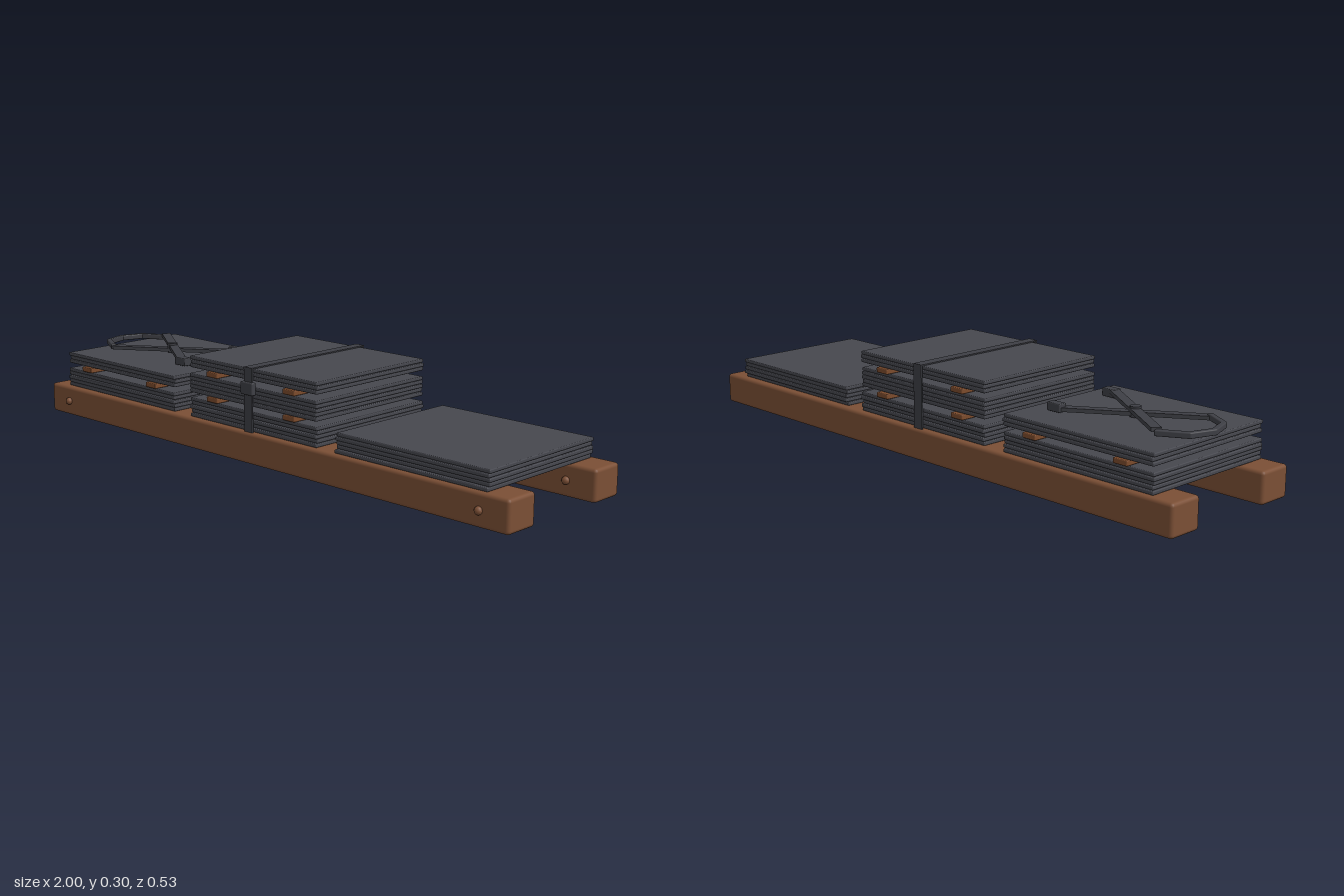
import * as THREE from 'three';
import { RoundedBoxGeometry } from 'three/addons/geometries/RoundedBoxGeometry.js';

const mat = (name, color) => {
  const m = new THREE.MeshStandardMaterial({ color });
  m.name = name;
  return m;
};

export function createModel() {
  const model = new THREE.Group();
  model.name = 'sheetStacksOnBeams';
  const wood = mat('beamWood', 0x7b4f35);
  const spacerWood = mat('spacerWood', 0x7c4b2c);
  const slate = mat('slateSheet', 0x46474e);
  const iron = mat('darkIron', 0x3e3f45);

  const add = (name, geometry, material, x, y, z, parent = model) => {
    const mesh = new THREE.Mesh(geometry, material);
    mesh.name = name;
    mesh.position.set(x, y, z);
    parent.add(mesh);
    return mesh;
  };
  const box = (name, material, w, h, d, x, y, z, parent) =>
    add(name, new THREE.BoxGeometry(w, h, d), material, x, y, z, parent);
  const rounded = (name, material, w, h, d, r, x, y, z, parent) =>
    add(name, new RoundedBoxGeometry(w, h, d, 2, r), material, x, y, z, parent);

  let seed = 7;
  const jitter = (range) => {
    seed = (seed * 16807) % 2147483647;
    return (seed / 2147483647 - 0.5) * 2 * range;
  };

  // Two long beams with bolt heads on their front faces
  for (const [side, z] of [['front', 0.1935], ['back', -0.2065]]) {
    rounded(side + 'Beam', wood, 2, 0.1, 0.117, 0.011, 0, 0.05, z);
    for (const x of [-0.9, 0.9]) {
      const bolt = new THREE.SphereGeometry(0.0125, 12, 8);
      add(side + 'Bolt', bolt, wood, x, 0.05, z + 0.061, model);
    }
  }

  // Stacks of thin sheets, each layer separated by two wooden spacers
  const pitch = 0.0127, spacerHeight = 0.0165;
  const buildStack = (name, cx, layers) => {
    const stack = new THREE.Group();
    stack.name = name;
    model.add(stack);
    let y = 0.1;
    layers.forEach((count, layer) => {
      if (layer > 0) {
        for (const dx of [-0.17, 0.17])
          rounded('spacer', spacerWood, 0.05, spacerHeight, 0.5, 0.003, cx + dx, y + spacerHeight / 2, -0.0075, stack);
        y += spacerHeight;
      }
      for (let i = 0; i < count; i++, y += pitch)
        rounded('sheet', slate, 0.56, 0.0115, 0.482, 0.003,
          cx + jitter(0.003), y + pitch / 2, -0.006 + jitter(0.005), stack);
    });
  };
  buildStack('leftEndStack', 0.64, [5]);
  buildStack('middleStack', 0, [5, 5, 3]);
  buildStack('rightEndStack', -0.64, [5, 3]);

  // Strap and buckle around the middle stack
  const strap = new THREE.Group();
  strap.name = 'strap';
  model.add(strap);
  box('strapTop', iron, 0.035, 0.004, 0.505, 0, 0.301, -0.0065, strap);
  box('strapFront', iron, 0.035, 0.2, 0.005, 0, 0.2, 0.2435, strap);
  box('strapBack', iron, 0.035, 0.2, 0.005, 0, 0.2, -0.2565, strap);
  rounded('buckle', iron, 0.052, 0.04, 0.018, 0.004, 0, 0.238, 0.245, strap);

  // Lifting tongs lying on the right end stack
  const tongs = new THREE.Group();
  tongs.name = 'tongs';
  tongs.position.set(-0.655, 0.22, -0.012);
  model.add(tongs);
  for (const s of [-1, 1]) {
    const y = s > 0 ? 0.011 : 0.021;
    const arm = box('tongsArm', iron, 0.43, 0.012, 0.03, 0.005, y, 0, tongs);
    arm.rotation.y = s * 0.585;
    const jaw = rounded('tongsJaw', iron, 0.05, 0.026, 0.03, 0.003, 0.195, 0.015, s * 0.12, tongs);
    jaw.rotation.y = 0;
  }
  add('tongsPivot', new THREE.CylinderGeometry(0.017, 0.017, 0.032, 12), iron, 0, 0.017, 0, tongs);

  // Angular handle joining the ends of the tongs
  const points = [[-0.175, -0.12], [-0.255, -0.075], [-0.28, 0], [-0.255, 0.075], [-0.175, 0.12]];
  for (let i = 0; i < points.length - 1; i++) {
    const [x0, z0] = points[i], [x1, z1] = points[i + 1];
    const link = rounded('tongsHandle', iron, Math.hypot(x1 - x0, z1 - z0) + 0.01, 0.018, 0.018, 0.004,
      (x0 + x1) / 2, 0.013, (z0 + z1) / 2, tongs);
    link.rotation.y = -Math.atan2(z1 - z0, x1 - x0);
  }
  return model;
}
